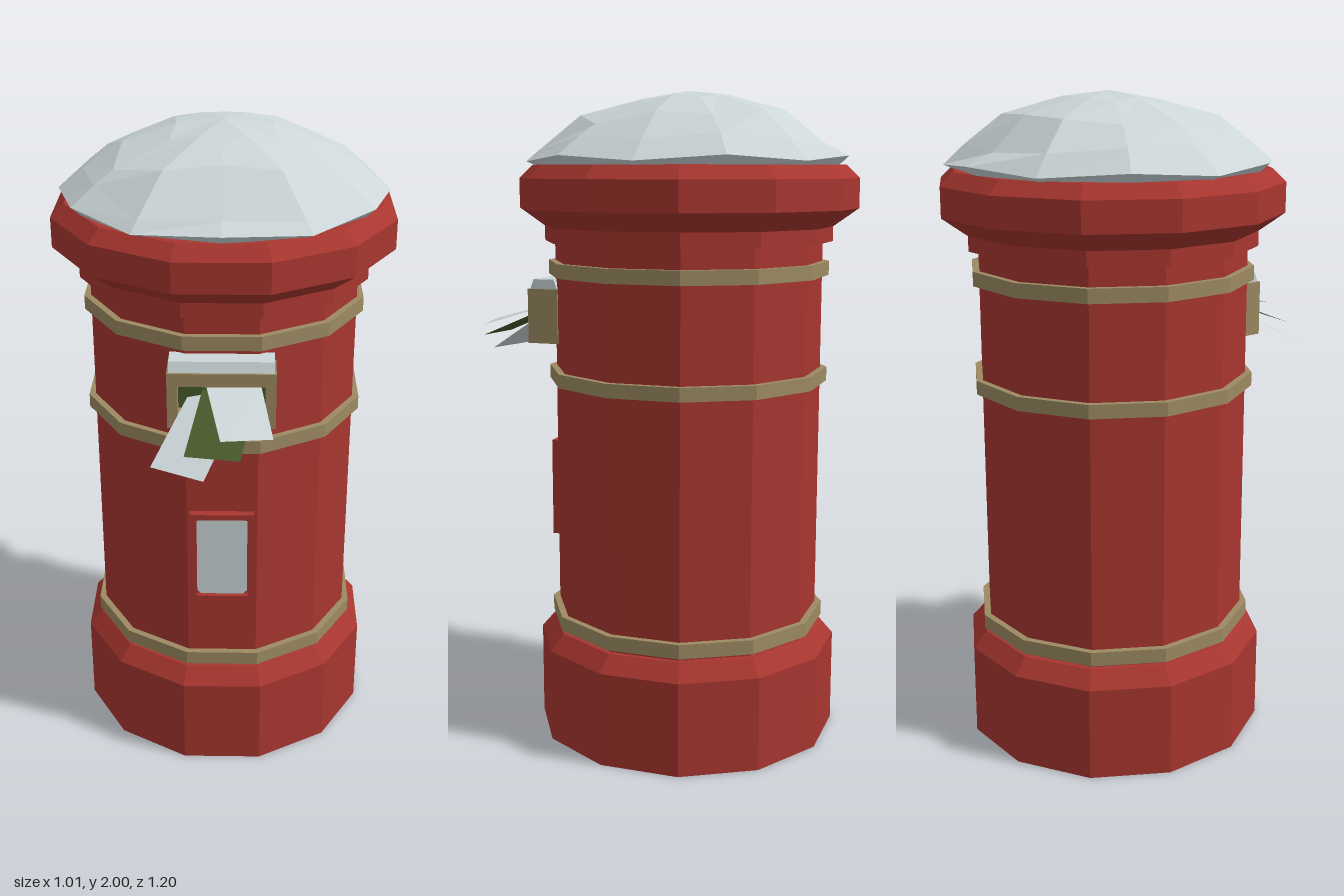
import * as THREE from 'three';

const SIDES = 12;
const AXIS_Z = -0.095;

// Splits faces so every facet gets its own flat normal
function faceted(geometry) {
  const flat = geometry.index ? geometry.toNonIndexed() : geometry;
  flat.computeVertexNormals();
  return flat;
}

// Twelve-sided turned form with a flat side to the front; radii reach the flats
function turned(profile) {
  const k = 1 / Math.cos(Math.PI / SIDES);
  const points = profile.map(([r, y]) => new THREE.Vector2(r * k, y));
  return faceted(new THREE.LatheGeometry(points, SIDES).rotateY(Math.PI / SIDES)).translate(0, 0, AXIS_Z);
}

// Rectangular frame with an opening, extruded from z0 to z1
function frame(w, h, innerW, innerH, y, z0, z1) {
  const rect = (Type, a, b) => new Type().setFromPoints([[-a, -b], [a, -b], [a, b], [-a, b]]
    .map(([px, py]) => new THREE.Vector2(px / 2, py / 2)));
  const shape = rect(THREE.Shape, w, h);
  shape.holes.push(rect(THREE.Path, innerW, innerH));
  return new THREE.ExtrudeGeometry(shape, { depth: z1 - z0, bevelEnabled: false }).translate(0, y, z0);
}

// Uneven snow dome: rings of [radius, height], front to back, mirrored left to right
function snowDome() {
  const even = (r, y) => Array(7).fill([r, y]);
  const rings = [
    even(0, 1.775),
    even(0.46, 1.775),
    Array.from({ length: 7 }, (_, k) => [0.495, k % 2 ? 1.79 : 1.806]),
    [[0.42, 1.825], [0.46, 1.82], [0.42, 1.86], [0.42, 1.85], [0.42, 1.865], [0.43, 1.85], [0.41, 1.84]],
    [[0.265, 1.935], [0.33, 1.925], [0.36, 1.895], [0.3, 1.93], [0.31, 1.92], [0.32, 1.935], [0.3, 1.94]],
    [[0.17, 1.965], [0.14, 1.975], [0.18, 1.96], [0.14, 1.985], [0.17, 1.975], [0.14, 1.985], [0.13, 1.985]],
    even(0, 2),
  ];
  const at = (ring, i) => {
    const k = i % SIDES;
    const [r, y] = ring[k > 6 ? SIDES - k : k];
    const a = (k / SIDES) * Math.PI * 2;
    return [r * Math.sin(a), y, r * Math.cos(a) + AXIS_Z];
  };
  const positions = [];
  for (let j = 0; j < rings.length - 1; j++) {
    for (let i = 0; i < SIDES; i++) {
      const a = at(rings[j], i), b = at(rings[j], i + 1);
      const c = at(rings[j + 1], i + 1), d = at(rings[j + 1], i);
      if (j > 0) positions.push(...a, ...b, ...(j === rings.length - 2 ? d : c));
      if (j < rings.length - 2) positions.push(...a, ...c, ...d);
    }
  }
  const g = new THREE.BufferGeometry();
  g.setAttribute('position', new THREE.Float32BufferAttribute(positions, 3));
  return faceted(g);
}

// Flat four-cornered sheet
function sheet(corners) {
  const [a, b, c, d] = corners;
  const g = new THREE.BufferGeometry();
  g.setAttribute('position', new THREE.Float32BufferAttribute([...a, ...b, ...c, ...a, ...c, ...d], 3));
  return faceted(g);
}

export function createModel() {
  const group = new THREE.Group();
  const material = (name, color, side = THREE.FrontSide) => {
    const m = new THREE.MeshStandardMaterial({ color, side });
    m.name = name;
    return m;
  };
  const red = material('red paint', 0xa8362f);
  const brass = material('dull brass', 0x9c8a62);
  const white = material('snow white', 0xccd6d8, THREE.DoubleSide);
  const green = material('dark green', 0x47592b, THREE.DoubleSide);
  const add = (name, geometry, mat) => {
    const mesh = new THREE.Mesh(geometry, mat);
    mesh.name = name;
    group.add(mesh);
    return mesh;
  };

  // Pillar with plinth, neck ring and flared cornice
  add('pillar', turned([
    [0, 0], [0.457, 0], [0.457, 0.29], [0.415, 0.34], [0.4, 0.34], [0.4, 1.55],
    [0.43, 1.55], [0.43, 1.595], [0.505, 1.65], [0.505, 1.74], [0.465, 1.78], [0, 1.78],
  ]), red);

  // Brass bands
  for (const [y0, y1] of [[0.352, 0.396], [1.118, 1.16], [1.447, 1.49]]) {
    add('band', turned([[0.39, y0], [0.42, y0], [0.42, y1], [0.39, y1]]), brass);
  }

  // Snow on the roof
  add('roofSnow', snowDome(), white);

  // Letter slot with dark opening and a strip of snow
  add('slotFrame', frame(0.31, 0.17, 0.25, 0.09, 1.315, 0.28, 0.38), brass);
  add('slotOpening', new THREE.BoxGeometry(0.25, 0.09, 0.008).translate(0, 1.315, 0.325), green);
  const strip = new THREE.BoxGeometry(0.3, 0.03, 0.09);
  const p = strip.attributes.position;
  for (let i = 0; i < p.count; i++) if (p.getY(i) > 0) p.setZ(i, p.getZ(i) * 0.75);
  add('slotSnow', faceted(strip).translate(0, 1.415, 0.328), white);

  // Letters sticking out of the slot
  add('leftLetter', sheet([[-0.195, 1.185, 0.53], [-0.045, 1.18, 0.6], [0.06, 1.315, 0.37], [-0.09, 1.315, 0.31]]), white);
  add('middleLetter', sheet([[-0.1, 1.235, 0.56], [0.055, 1.235, 0.585], [0.1, 1.33, 0.355], [-0.055, 1.33, 0.33]]), green);
  add('rightLetter', sheet([[0, 1.285, 0.565], [0.145, 1.28, 0.54], [0.11, 1.348, 0.32], [-0.045, 1.348, 0.34]]), white);

  // Notice panel: red frame around a plate with clipped corners
  add('noticeFrame', frame(0.194, 0.31, 0.158, 0.274, 0.755, 0.29, 0.33), red);
  const w = 0.077, h = 0.135, c = 0.012;
  const plate = new THREE.Shape([
    [-w + c, -h], [w - c, -h], [w, -h + c], [w, h - c], [w - c, h], [-w + c, h], [-w, h - c], [-w, -h + c],
  ].map(([x, y]) => new THREE.Vector2(x, y)));
  add('noticeBacking', new THREE.BoxGeometry(0.16, 0.276, 0.02).translate(0, 0.755, 0.304), red);
  add('noticePlate', new THREE.ExtrudeGeometry(plate, { depth: 0.006, bevelEnabled: false }).translate(0, 0.755, 0.313), white);

  return group;
}
